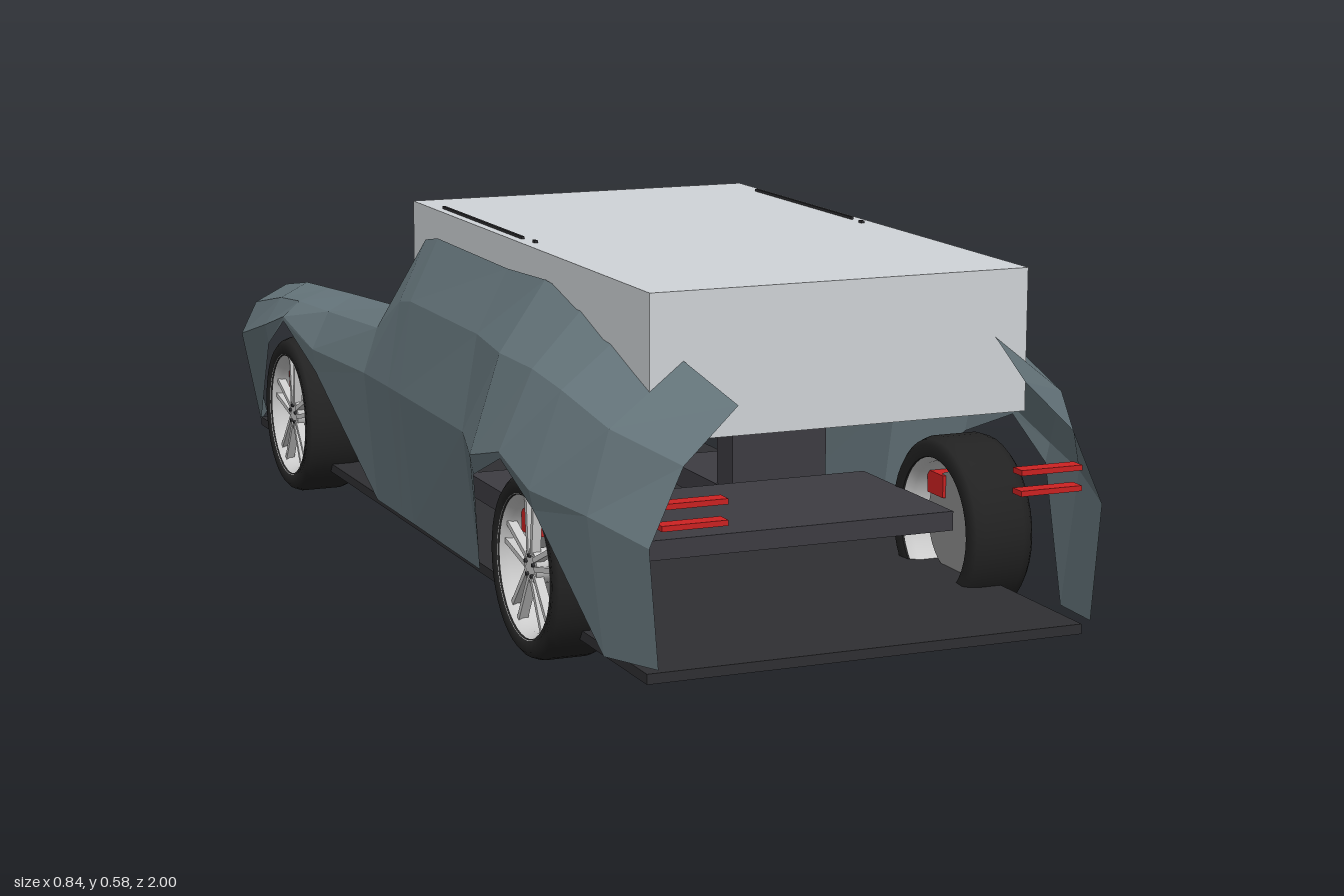
import * as THREE from 'three';

const mat = (color, extra = {}) => new THREE.MeshStandardMaterial({ color, ...extra });
const paint = mat(0x66767c, { flatShading: true, side: THREE.DoubleSide });
const dark = mat(0x2f2f32), trim = mat(0x3d3c42), red = mat(0xcc2222);
const glass = mat(0xd0d4d8), silver = mat(0xcccccc), steel = mat(0x8c8c8c);
const rubber = mat(0x222222, { side: THREE.DoubleSide });
const alloy = mat(0xcccccc, { side: THREE.DoubleSide });

function add(parent, name, geometry, material, x = 0, y = 0, z = 0) {
  const mesh = new THREE.Mesh(geometry, material);
  mesh.name = name;
  mesh.position.set(x, y, z);
  parent.add(mesh);
  return mesh;
}

// Box given by its limits on each axis
function box(parent, name, material, [x0, x1], [y0, y1], [z0, z1]) {
  return add(parent, name, new THREE.BoxGeometry(x1 - x0, y1 - y0, z1 - z0), material,
    (x0 + x1) / 2, (y0 + y1) / 2, (z0 + z1) / 2);
}

// Side panel sections: z, then (x, y) of top edge, shoulder, belt and lower edge
const sections = [
  [1.0, .22, .437, .30, .36, .35, .25, .336, .08],
  [.87, .244, .477, .355, .39, .388, .27, .363, .068],
  [.73, .27, .50, .37, .42, .42, .28, .413, .25],
  [.615, .285, .52, .37, .43, .422, .312, .42, .302],
  [.48, .297, .535, .37, .43, .418, .28, .412, .25],
  [.32, .297, .528, .347, .43, .372, .28, .345, .06],
  [0, .297, .53, .345, .43, .366, .28, .343, .06],
  [-.06, .297, .52, .343, .42, .365, .28, .343, .06],
  [-.19, .298, .388, .34, .355, .364, .28, .343, .06],
  [-.43, .30, .372, .35, .345, .38, .28, .375, .24],
  [-.57, .302, .362, .36, .342, .39, .316, .39, .308],
  [-.70, .305, .353, .355, .328, .386, .28, .38, .245],
  [-.90, .285, .318, .345, .288, .374, .23, .34, .06],
  [-.98, .255, .28, .305, .268, .342, .23, .305, .06],
];

function sidePanelGeometry(side) {
  const pos = [];
  const put = (s, r) => pos.push(side * s[1 + r * 2], s[2 + r * 2], s[0]);
  for (let i = 0; i < sections.length - 1; i++) {
    const a = sections[i], b = sections[i + 1];
    for (let r = 0; r < 3; r++) {
      const quad = [[a, r], [a, r + 1], [b, r + 1], [a, r], [b, r + 1], [b, r]];
      if (side < 0) quad.reverse();
      quad.forEach(([s, row]) => put(s, row));
    }
  }
  const g = new THREE.BufferGeometry();
  g.setAttribute('position', new THREE.Float32BufferAttribute(pos, 3));
  g.computeVertexNormals();
  return g;
}

// Lathe around the wheel axle, points as (radius, offset along axle)
function lathe(points) {
  const g = new THREE.LatheGeometry(points.map(([r, h]) => new THREE.Vector2(r, h)), 40);
  return g.rotateZ(-Math.PI / 2);
}

// Wheel with its outer face towards +x
function makeWheel(name) {
  const wheel = new THREE.Group();
  wheel.name = name;
  add(wheel, 'tyre', lathe([[.106, -.05], [.125, -.053], [.133, -.046], [.138, -.032],
    [.138, .032], [.133, .046], [.125, .053], [.106, .05], [.102, 0], [.106, -.05]]), rubber);
  add(wheel, 'rimBarrel', lathe([[.108, -.05], [.098, -.035], [.098, .035], [.108, .051]]), alloy);
  add(wheel, 'brakeDisc', new THREE.CylinderGeometry(.08, .08, .01, 32).rotateZ(Math.PI / 2), steel, -.01);
  add(wheel, 'hub', new THREE.CylinderGeometry(.026, .026, .05, 20).rotateZ(Math.PI / 2), silver, .014);
  for (let i = 0; i < 5; i++) {
    const a = i * Math.PI * 2 / 5;
    for (const k of [-1, 1]) {
      const spoke = new THREE.BoxGeometry(.014, .085, .008);
      spoke.translate(.034, .06, 0).rotateX(k * .1).translate(0, 0, k * .005).rotateX(a);
      add(wheel, 'spoke', spoke, silver);
    }
    add(wheel, 'wheelBolt', new THREE.CylinderGeometry(.003, .003, .006, 8).rotateZ(Math.PI / 2), dark,
      .04, .016 * Math.cos(a), .016 * Math.sin(a));
  }
  box(wheel, 'brakeCaliper', red, [-.02, .024], [.035, .07], [-.075, -.025]);
  return wheel;
}

export function createModel() {
  const car = new THREE.Group();
  car.name = 'car';

  // Floor, cabin and interior
  box(car, 'floor', dark, [-.34, .34], [.052, .067], [-.9, .97]);
  box(car, 'cabin', glass, [-.295, .295], [.365, .575], [-.125, .87]);
  box(car, 'dashboard', dark, [-.3, .3], [.215, .335], [-.28, -.08]);
  box(car, 'centreConsole', dark, [-.043, .043], [.135, .2], [-.08, .15]);
  box(car, 'rearShelf', trim, [-.285, .285], [.145, .175], [.38, .68]);
  box(car, 'numberPlate', steel, [-.14, .14], [.127, .247], [-1, -.98]);

  for (const side of [-1, 1]) {
    const span = (a, b) => side > 0 ? [a, b] : [-b, -a];
    add(car, 'sidePanel', sidePanelGeometry(side), paint);

    // Seats
    box(car, 'seatBack', trim, span(.087, .252), [.13, .365], [.25, .31]);
    box(car, 'seatCushion', trim, span(.083, .258), [.11, .145], [.03, .31]);

    // Roof rails
    box(car, 'roofRail', dark, span(.276, .281), [.574, .579], [-.02, .34]);
    box(car, 'railEnd', dark, span(.272, .277), [.574, .579], [.375, .385]);

    // Lamps
    for (const y of [.272, .302])
      box(car, 'rearLamp', red, span(.227, .325), [y - .004, y + .004], [.96, .985]);
    for (const y of [.245, .268])
      box(car, 'headlamp', silver, span(.225, .31), [y - .005, y + .005], [-.957, -.938]);

    // Wheels
    for (const [name, z] of [['rearWheel', .615], ['frontWheel', -.57]]) {
      const wheel = makeWheel(name);
      wheel.position.set(side * .335, .138, z);
      wheel.scale.x = side;
      car.add(wheel);
    }
  }
  return car;
}
